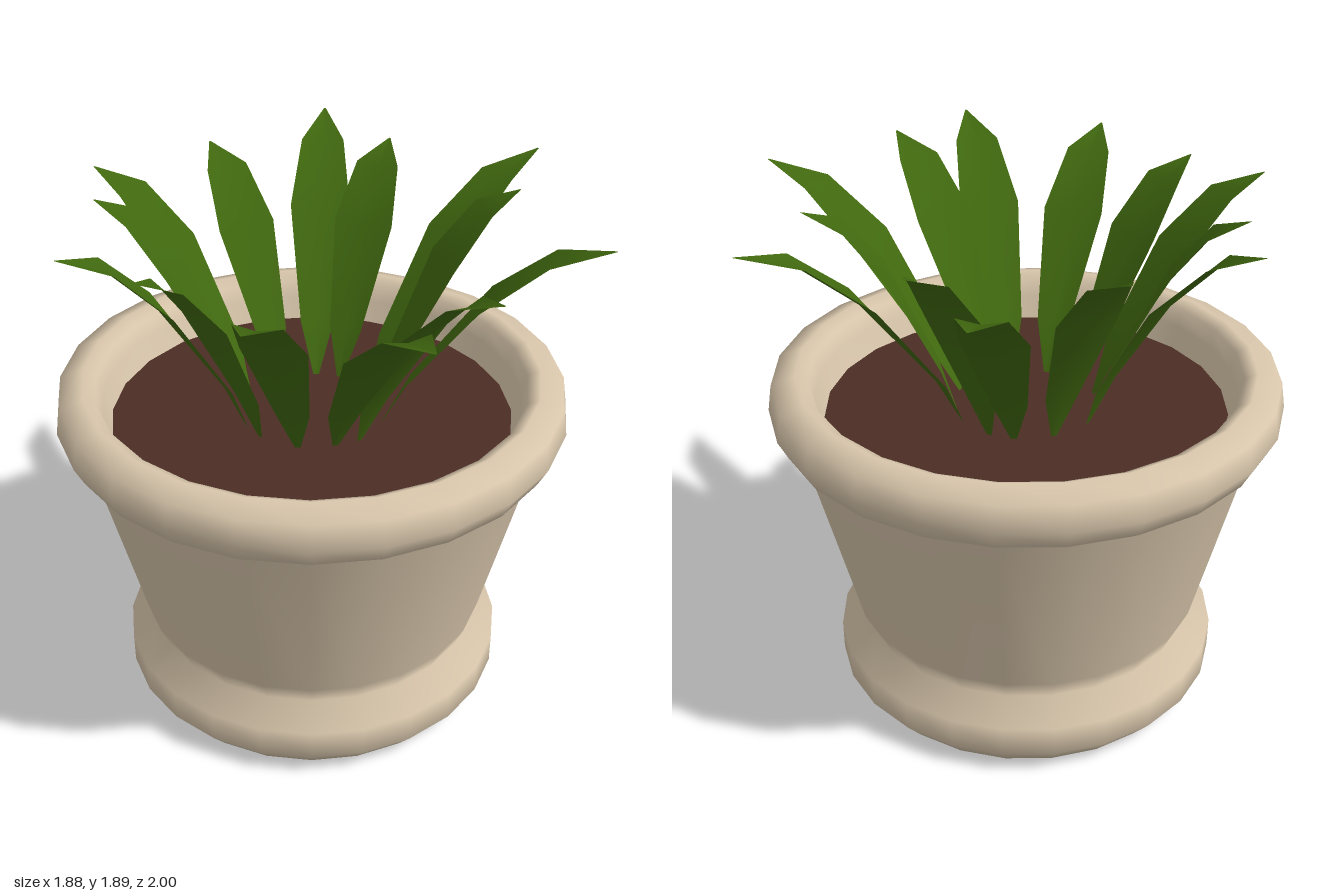
import * as THREE from 'three';

const clay = new THREE.MeshStandardMaterial({ color: 0xd9c7ac });
clay.name = 'clay';
const earth = new THREE.MeshStandardMaterial({ color: 0x4c2e25 });
earth.name = 'earth';
const leafGreen = new THREE.MeshStandardMaterial({ color: 0x40680f, side: THREE.DoubleSide });
leafGreen.name = 'leafGreen';

const SIDES = 24;

// Pot wall as [radius, height]: foot, waist, flared body, rolled rim, inner wall
const POT_PROFILE = [
  [0, 0], [0.65, 0], [0.72, 0.085], [0.72, 0.2], [0.62, 0.27], [0.655, 0.35],
  [0.825, 1.05], [0.885, 1.095], [0.92, 1.165], [0.905, 1.26], [0.82, 1.29],
  [0.775, 1.265], [0.755, 1.2], [0.72, 1.1],
];

// Leaf sections: fraction of reach, height, half width, depth of the centre fold
const LEAF_SECTIONS = [
  [0, 1.11, 0.008, 0],
  [0.12, 1.3, 0.062, 0.008],
  [0.46, 1.66, 0.112, 0.018],
  [0.74, 1.84, 0.08, 0.014],
  [1, 1.895, 0.003, 0],
];

// Base x, z and tip x, z of every leaf
const LEAVES = [
  [0.06, -0.27, 0.29, -1.0], [-0.08, -0.27, -0.22, -0.76], [0.14, -0.23, 0.44, -0.62],
  [0.22, -0.11, 0.94, -0.38], [0.23, -0.03, 0.73, -0.03], [0.2, 0.11, 0.84, 0.52],
  [0.09, 0.21, 0.36, 0.78], [0.0, 0.22, 0.07, 1.0], [-0.13, 0.2, -0.43, 0.76],
  [-0.24, 0.1, -0.68, 0.35], [-0.27, 0.01, -0.89, 0.13], [-0.25, -0.11, -0.71, -0.32],
  [-0.21, -0.2, -0.67, -0.62],
];

// Folded blade: left edge, centre rib and right edge at each section
function leafGeometry([bx, bz, tx, tz]) {
  const reach = Math.hypot(tx - bx, tz - bz);
  const dx = (tx - bx) / reach, dz = (tz - bz) / reach;
  const positions = [], indices = [];
  LEAF_SECTIONS.forEach(([t, y, half, fold], row) => {
    for (const side of [-1, 0, 1]) {
      const along = reach * t + (side === 0 ? fold * 0.7 : 0);
      positions.push(
        bx + dx * along - dz * half * side,
        y - (side === 0 ? fold * 0.7 : 0),
        bz + dz * along + dx * half * side,
      );
    }
    if (row === 0) return;
    for (let k = 0; k < 2; k++) {
      const a = (row - 1) * 3 + k, b = row * 3 + k;
      indices.push(a, a + 1, b, a + 1, b + 1, b);
    }
  });
  const geometry = new THREE.BufferGeometry();
  geometry.setAttribute('position', new THREE.Float32BufferAttribute(positions, 3));
  // Wind the faces so the upper side is the front
  for (let i = 0; i < indices.length; i += 3) {
    [indices[i + 1], indices[i + 2]] = [indices[i + 2], indices[i + 1]];
  }
  geometry.setIndex(indices);
  geometry.computeVertexNormals();
  return geometry;
}

export function createModel() {
  const model = new THREE.Group();
  model.name = 'pottedPlant';

  // Pot with its soil
  const planter = new THREE.Group();
  planter.name = 'planter';
  planter.position.set(-0.02, 0, -0.025);
  model.add(planter);

  const profile = POT_PROFILE.map(([r, y]) => new THREE.Vector2(r, y));
  const pot = new THREE.Mesh(new THREE.LatheGeometry(profile, SIDES), clay);
  pot.name = 'pot';
  planter.add(pot);

  const soil = new THREE.Mesh(new THREE.CircleGeometry(0.727, SIDES), earth);
  soil.name = 'soil';
  soil.rotation.x = -Math.PI / 2;
  soil.position.y = 1.12;
  planter.add(soil);

  // Ring of arching leaves
  const foliage = new THREE.Group();
  foliage.name = 'foliage';
  LEAVES.forEach((ends) => {
    const leaf = new THREE.Mesh(leafGeometry(ends), leafGreen);
    leaf.name = 'leaf';
    foliage.add(leaf);
  });
  model.add(foliage);

  return model;
}
